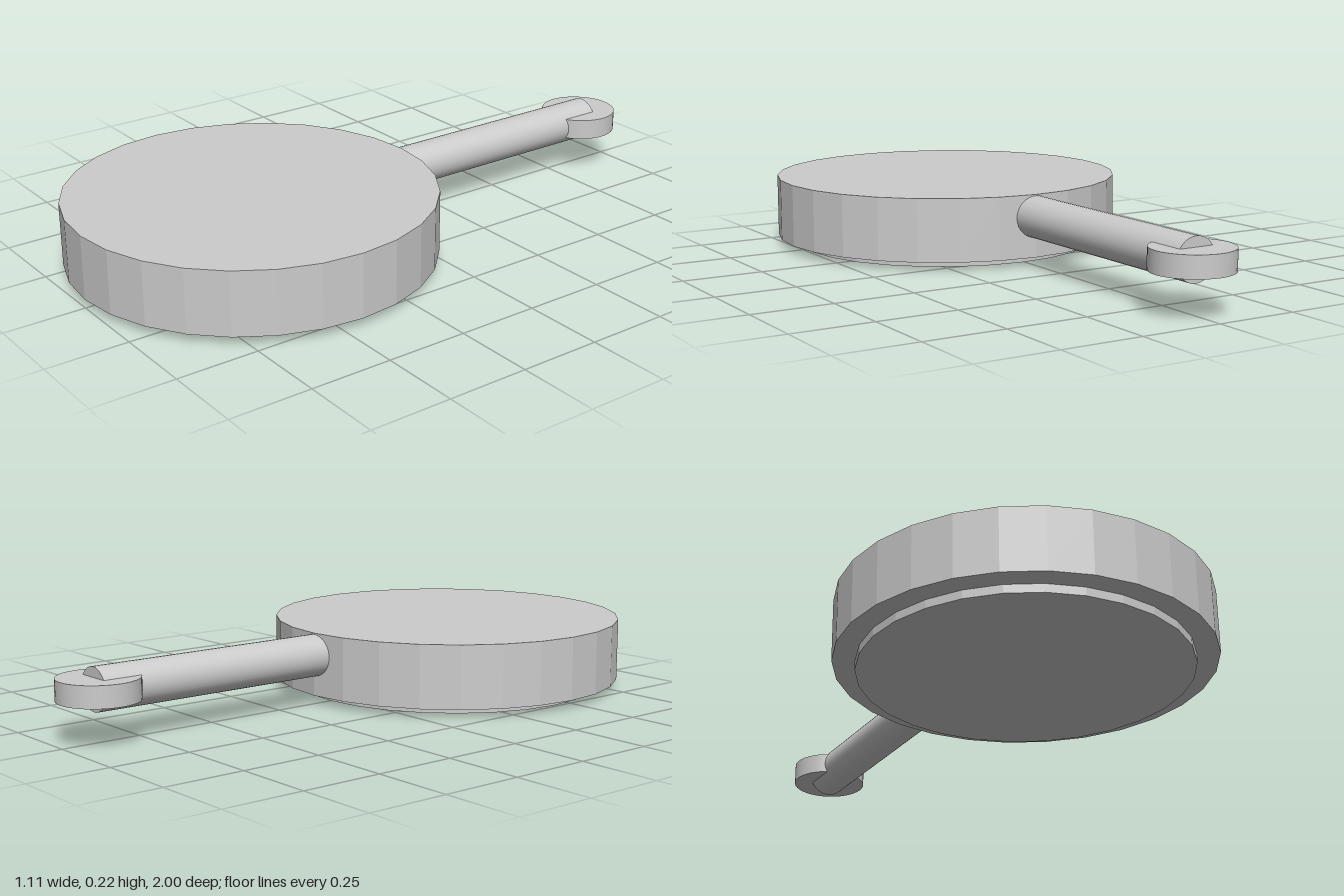
import * as THREE from 'three';

export function createModel() {
  const model = new THREE.Group();
  const smooth = new THREE.MeshStandardMaterial({ color: 0xcccccc });
  const faceted = new THREE.MeshStandardMaterial({ color: 0xcccccc, flatShading: true });

  // Upright disc between two heights
  function disc(name, radius, bottom, top, z, sides, material) {
    const mesh = new THREE.Mesh(
      new THREE.CylinderGeometry(radius, radius, top - bottom, sides), material);
    mesh.name = name;
    mesh.position.set(0, (bottom + top) / 2, z);
    model.add(mesh);
  }

  // Faceted body standing on a narrower foot
  disc('body', 0.557, 0.026, 0.222, 0.443, 28, faceted);
  disc('foot', 0.49, 0, 0.026, 0.443, 28, faceted);

  // Round handle running back from the body
  const front = -0.06, back = -0.895;
  const handle = new THREE.Mesh(
    new THREE.CylinderGeometry(0.065, 0.065, front - back, 32), smooth);
  handle.name = 'handle';
  handle.rotation.x = Math.PI / 2;
  handle.position.set(0, 0.153, (front + back) / 2);
  model.add(handle);

  // Flat disc at the end of the handle
  disc('handleEnd', 0.121, 0.122, 0.187, -0.879, 40, smooth);

  return model;
}
